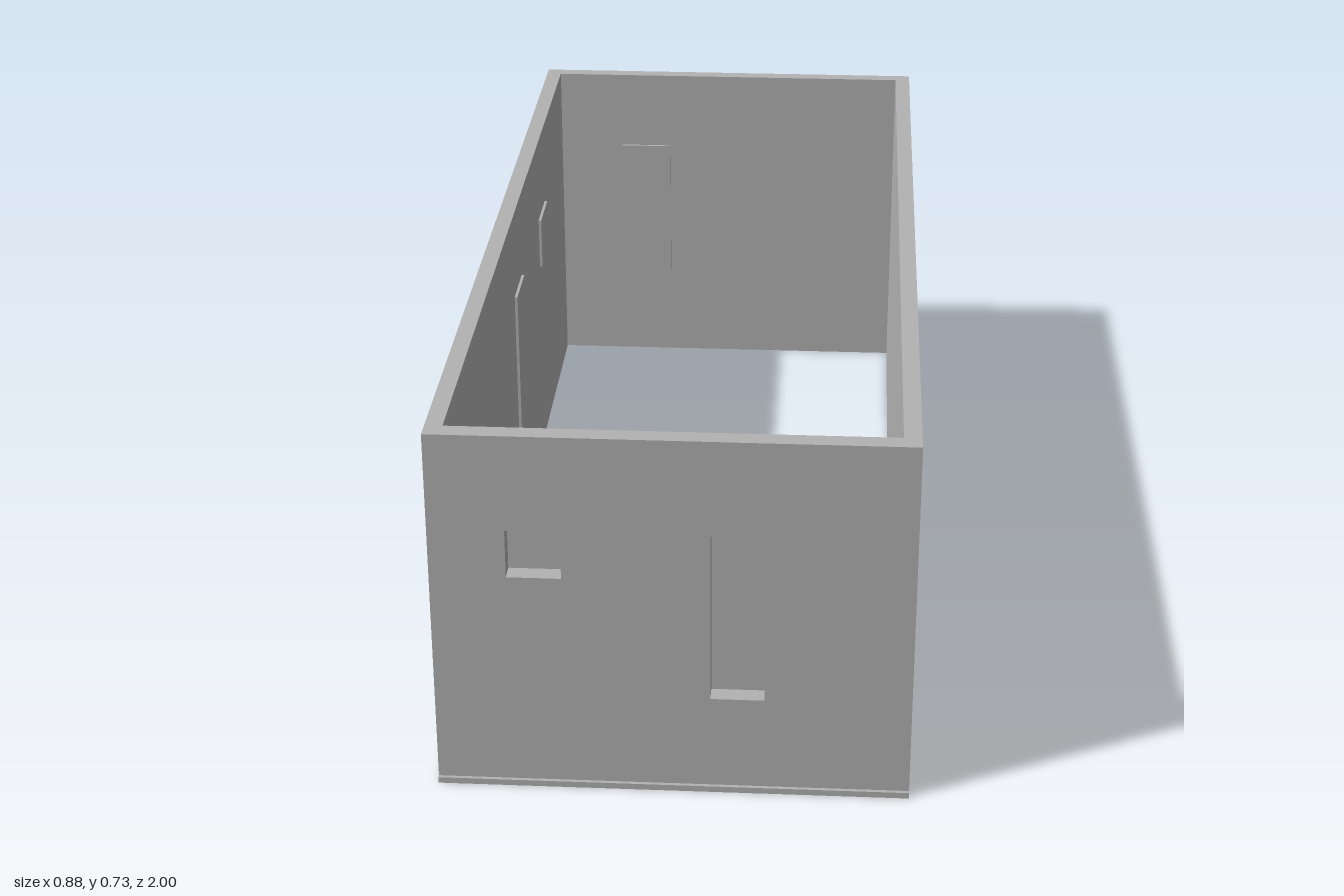
import * as THREE from 'three';

const HEIGHT = 0.73;
const OUTER_X = 0.441, INNER_X = 0.408;
const FRONT = 0.993, INNER_FRONT = 0.957;
const BACK = -1, INNER_BACK = -0.969;

// Opening sizes: half width, sill and head heights
const windowAt = (x) => ({ name: 'window', x, half: 0.05, y0: 0.445, y1: 0.54 });
const doorAt = (x) => ({ name: 'door', x, half: 0.05, y0: 0.2, y1: 0.54 });

export function createModel() {
  const model = new THREE.Group();
  const wallGrey = new THREE.MeshStandardMaterial({ color: 0xb2b2b2 });
  wallGrey.name = 'wallGrey';

  // A wall with its inner face at local z = 0 and its outer face at z = depth;
  // each opening is closed on the inside by a slightly larger thin panel.
  function addWall(name, width, depth, openings) {
    const wall = new THREE.Group();
    wall.name = name;
    const shape = new THREE.Shape();
    shape.moveTo(-width / 2, 0).lineTo(width / 2, 0);
    shape.lineTo(width / 2, HEIGHT).lineTo(-width / 2, HEIGHT).closePath();

    for (const { name: kind, x, half, y0, y1 } of openings) {
      const hole = new THREE.Path();
      hole.moveTo(x - half, y0).lineTo(x - half, y1);
      hole.lineTo(x + half, y1).lineTo(x + half, y0).closePath();
      shape.holes.push(hole);

      const panel = new THREE.Mesh(
        new THREE.BoxGeometry(half * 2 + 0.02, y1 - y0 + 0.02, 0.007), wallGrey);
      panel.name = kind + 'Panel';
      panel.position.set(x, (y0 + y1) / 2, -0.0025);
      wall.add(panel);
    }

    const slab = new THREE.Mesh(
      new THREE.ExtrudeGeometry(shape, { depth, bevelEnabled: false }), wallGrey);
    slab.name = name + 'Slab';
    wall.add(slab);
    model.add(wall);
    return wall;
  }

  // End walls span the full width
  const front = addWall('frontWall', OUTER_X * 2, FRONT - INNER_FRONT,
    [windowAt(-0.25), doorAt(0.12)]);
  front.position.z = INNER_FRONT;

  const back = addWall('backWall', OUTER_X * 2, INNER_BACK - BACK, [doorAt(0.2)]);
  back.rotation.y = Math.PI;
  back.position.z = INNER_BACK;

  // Side walls fit between the end walls
  const length = INNER_FRONT - INNER_BACK;
  const midZ = (INNER_FRONT + INNER_BACK) / 2;

  const right = addWall('rightWall', length, OUTER_X - INNER_X,
    [windowAt(-0.52 - midZ), doorAt(-0.08 - midZ)]);
  right.rotation.y = -Math.PI / 2;
  right.position.set(-INNER_X, 0, midZ);

  const left = addWall('leftWall', length, OUTER_X - INNER_X, []);
  left.rotation.y = Math.PI / 2;
  left.position.set(INNER_X, 0, midZ);

  // Low lip along the foot of the front wall
  const lip = new THREE.Mesh(
    new THREE.BoxGeometry(OUTER_X * 2, 0.012, 1 - FRONT), wallGrey);
  lip.name = 'frontLip';
  lip.position.set(0, 0.006, (1 + FRONT) / 2);
  model.add(lip);

  return model;
}
